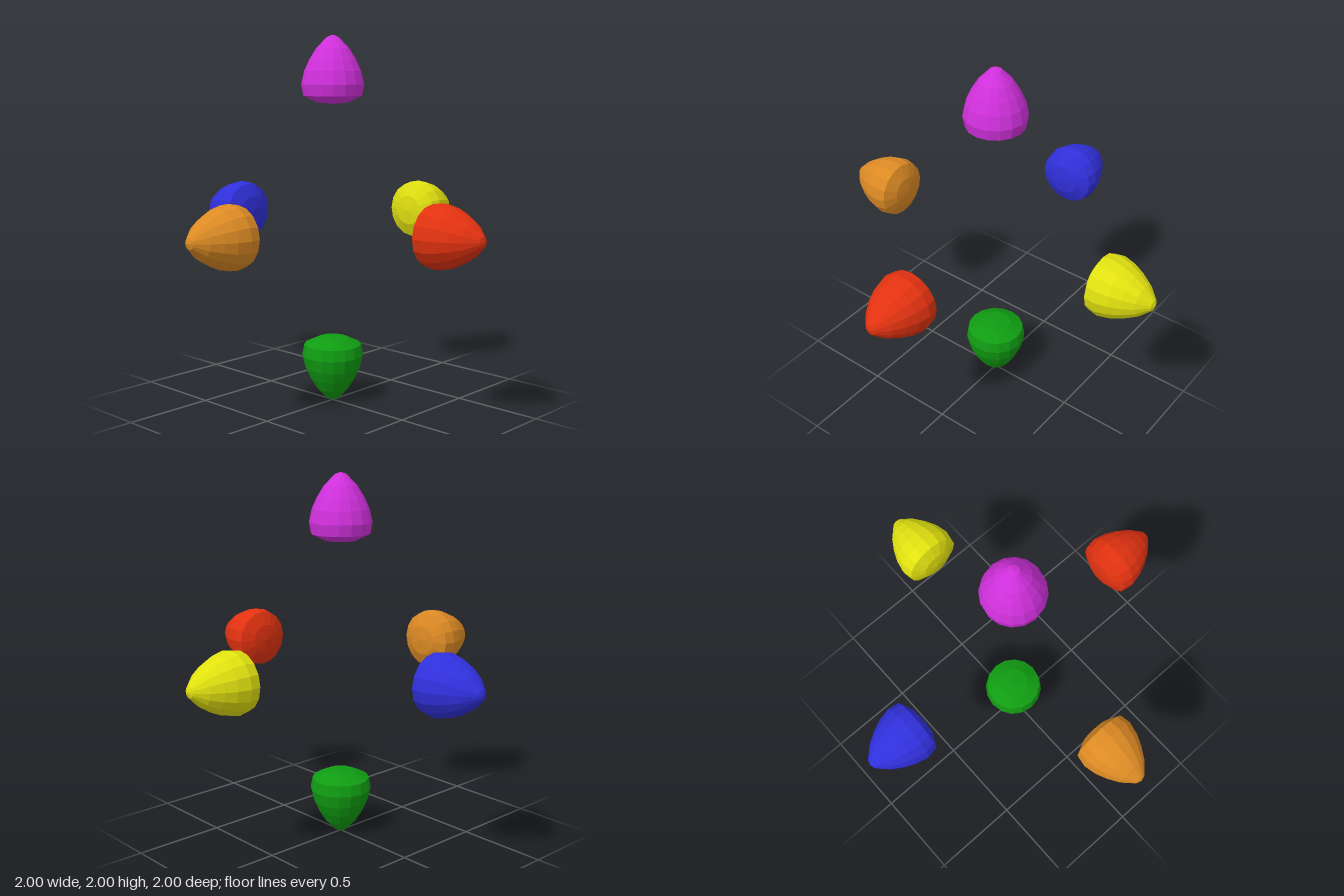
import * as THREE from 'three';

// Half outline of one pod: domed base at the bottom, tip at y = 1
const PROFILE = [
  [0, 0.635], [0.085, 0.645], [0.157, 0.68], [0.168, 0.74], [0.152, 0.81],
  [0.125, 0.87], [0.088, 0.93], [0.03, 0.99], [0, 1],
].map(([r, y]) => new THREE.Vector2(r, y));

// Each pod points outward along one axis
const PODS = [
  ['topPod', 'magenta', 0xd030dc, [0, 1, 0]],
  ['bottomPod', 'green', 0x109c12, [0, -1, 0]],
  ['leftPod', 'red', 0xe23210, [1, 0, 0]],
  ['rightPod', 'blue', 0x3030dc, [-1, 0, 0]],
  ['frontPod', 'orange', 0xdc8a24, [0, 0, 1]],
  ['backPod', 'yellow', 0xe0e010, [0, 0, -1]],
];

export function createModel() {
  const model = new THREE.Group();
  model.name = 'sixPods';
  const geometry = new THREE.LatheGeometry(PROFILE, 16);
  const up = new THREE.Vector3(0, 1, 0);

  for (const [name, colorName, color, axis] of PODS) {
    const material = new THREE.MeshStandardMaterial({ color, flatShading: true });
    material.name = colorName;
    const pod = new THREE.Mesh(geometry, material);
    pod.name = name;
    pod.quaternion.setFromUnitVectors(up, new THREE.Vector3(...axis));
    pod.position.y = 1;
    model.add(pod);
  }
  return model;
}
